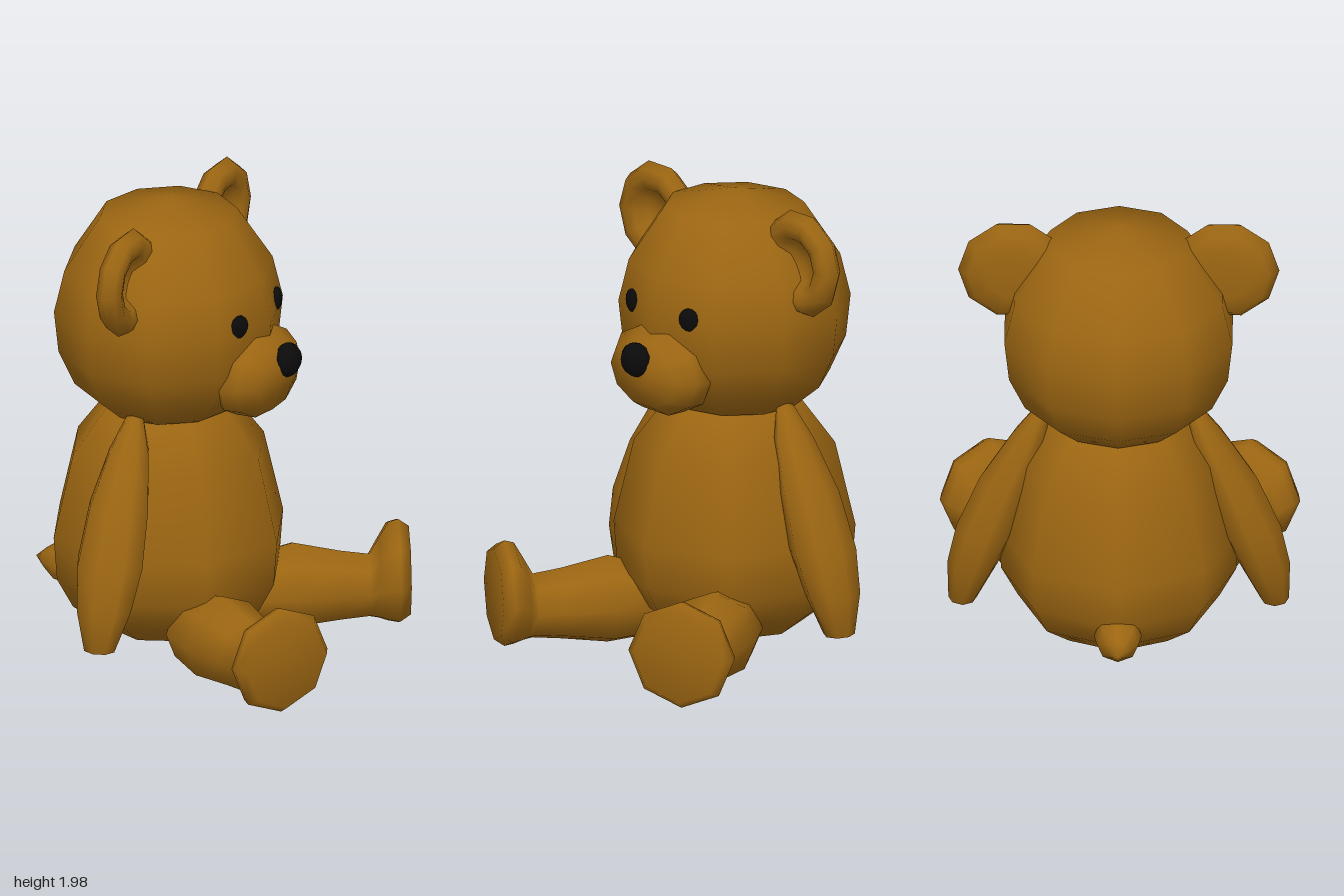
import * as THREE from 'three';
import { mergeVertices } from 'three/addons/utils/BufferGeometryUtils.js';

const X = new THREE.Vector3(1, 0, 0);
const Y = new THREE.Vector3(0, 1, 0);
const Z = new THREE.Vector3(0, 0, 1);
// turns a lathe's axis from y to x, and its local z to y
const FORWARD = new THREE.Matrix4().makeBasis(Z, X, Y);

// Lathe from rings of [radius, height, sideways offset along local z]
function turned(rings, sides, start = Math.PI / 2) {
  const geo = new THREE.LatheGeometry(rings.map(([r, h]) => new THREE.Vector2(r, h)), sides, start);
  const pos = geo.attributes.position;
  for (let i = 0; i < pos.count; i++) {
    pos.setZ(i, pos.getZ(i) + (rings[i % rings.length][2] || 0));
  }
  return geo;
}

// Weld the seam and shade smoothly
function smooth(geo) {
  geo.deleteAttribute('uv');
  geo.deleteAttribute('normal');
  const welded = mergeVertices(geo, 1e-4);
  welded.computeVertexNormals();
  return welded;
}

export function createModel() {
  const fur = new THREE.MeshStandardMaterial({ color: 0x9c6612 });
  fur.name = 'brown fur';
  const black = new THREE.MeshStandardMaterial({ color: 0x0b0b0c });
  black.name = 'black';

  const bear = new THREE.Group();
  bear.name = 'teddyBear';
  const add = (name, geo, material = fur) => {
    const mesh = new THREE.Mesh(smooth(geo), material);
    mesh.name = name;
    bear.add(mesh);
    return mesh;
  };

  // Body and head, both turned about an upright axis
  const axis = -0.155;
  add('body', turned([
    [0, 0.07], [0.29, 0.1], [0.42, 0.2], [0.49, 0.33], [0.505, 0.52],
    [0.42, 0.88], [0.27, 1.08], [0, 1.14],
  ], 8)).position.x = axis;
  add('head', turned([
    [0, 1.07], [0.29, 1.08], [0.41, 1.18], [0.48, 1.33], [0.5, 1.51],
    [0.455, 1.69], [0.3, 1.92], [0, 1.99],
  ], 10).scale(0.957, 1, 1)).position.x = axis;

  // Muzzle, wider than tall
  add('muzzle', turned([
    [0, 0.12, 1.26], [0.13, 0.14, 1.26], [0.178, 0.2, 1.272], [0.19, 0.29, 1.288],
    [0.145, 0.36, 1.288], [0.07, 0.4, 1.3], [0, 0.41, 1.3],
  ], 10).applyMatrix4(FORWARD).scale(1, 1, 1.38));

  add('nose', new THREE.SphereGeometry(0.075, 10, 8).scale(0.75, 0.97, 1), black)
    .position.set(0.4, 1.358, 0);

  // Tail
  add('tail', turned([
    [0, -0.77], [0.045, -0.72], [0.088, -0.66], [0.1, -0.59], [0.08, -0.5], [0, -0.46],
  ], 8).applyMatrix4(FORWARD)).position.y = 0.265;

  for (const side of [1, -1]) {
    const label = side > 0 ? 'left' : 'right';

    // Eye
    const eye = add(label + 'Eye', new THREE.SphereGeometry(0.05, 10, 8).scale(0.45, 1, 0.9), black);
    eye.position.set(0.262, 1.545, side * 0.177);
    eye.rotation.y = -side * 0.4;

    // Ear: domed behind, dished in front
    add(label + 'Ear', turned([
      [0, -0.195], [0.11, -0.195], [0.19, -0.18], [0.23, -0.135], [0.205, -0.09],
      [0.165, -0.075], [0.12, -0.09], [0.08, -0.14], [0, -0.16],
    ], 10).applyMatrix4(FORWARD)).position.set(0, 1.77, side * 0.44);

    // Arm: a flattened spindle bending outwards as it hangs
    const arm = turned([
      [0, 0.175, 0.7], [0.07, 0.19, 0.695], [0.125, 0.36, 0.645], [0.15, 0.54, 0.575],
      [0.135, 0.77, 0.475], [0.09, 0.98, 0.365], [0.04, 1.11, 0.3], [0, 1.125, 0.29],
    ], 8).scale(1, 1, 0.85).translate(0, 0, 0.06);
    if (side < 0) arm.rotateY(Math.PI);
    add(label + 'Arm', arm).position.x = axis;

    // Leg with upturned foot, splayed thirty degrees
    const leg = turned([
      [0, -0.3, 0.17], [0.09, -0.27, 0.175], [0.15, -0.2, 0.18], [0.19, 0, 0.197],
      [0.155, 0.2, 0.19], [0.14, 0.32, 0.188], [0.18, 0.36, 0.22], [0.222, 0.4, 0.248],
      [0.232, 0.44, 0.25], [0.2, 0.485, 0.25], [0, 0.49, 0.25],
    ], 8).applyMatrix4(FORWARD).rotateY(-side * Math.PI / 6);
    add(label + 'Leg', leg).position.set(0.26, 0, side * 0.33);
  }
  return bear;
}
